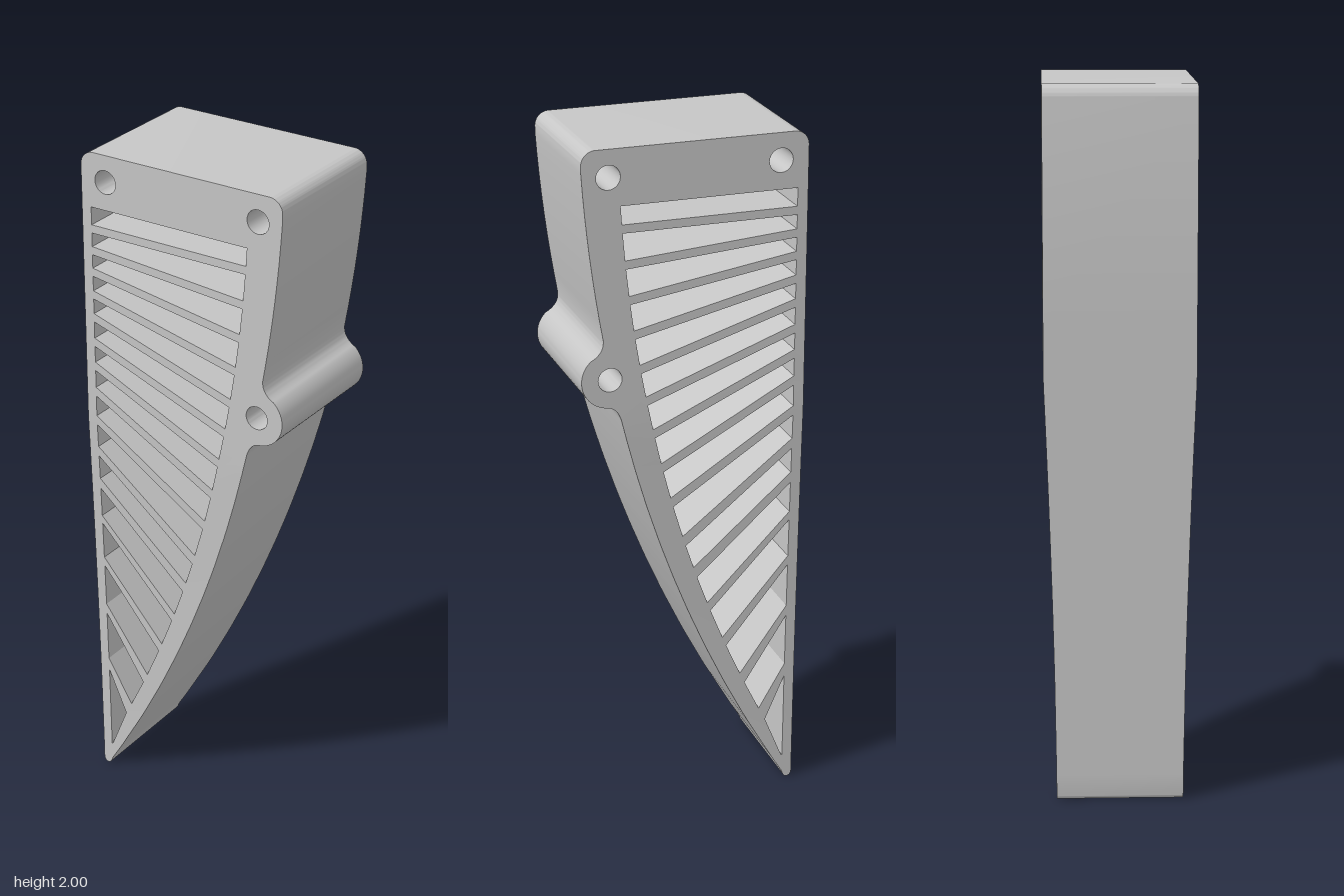
import * as THREE from 'three';
import { mergeGeometries, toCreasedNormals } from 'three/addons/utils/BufferGeometryUtils.js';

const LEFT = -0.324, SLOT_LEFT = -0.294, TIP_Y = 0.075;
const FLAT_SLOTS = 7; // slots in the upper part, where the depth is constant

// Outer curved edge is a large arc; the slots stop short of it by a rim that widens upward.
const edge = y => -3.825 + Math.sqrt(4.15 ** 2 - (2.2 - y) ** 2);
const inner = y => Math.max(SLOT_LEFT + 0.003, edge(y) - 0.046 - 0.03 * y);
// Half depth narrows gently toward the tip.
const halfDepth = y => 0.178 + 0.0315 * Math.min(1, Math.max(0, y) / 1.2) ** 1.6;

// Ribs: [height at the straight edge, height at the curved edge]
const ribs = [
  [1.778, 1.778], [1.714, 1.677], [1.65, 1.576], [1.582, 1.476], [1.513, 1.375],
  [1.438, 1.28], [1.364, 1.18], [1.285, 1.073], [1.195, 0.962], [1.094, 0.835],
  [0.988, 0.73], [0.867, 0.613], [0.724, 0.491], [0.56, 0.36], [0.364, 0.228],
];

// Slots between the ribs, as heights of their four corners
function makeSlots() {
  const slots = [];
  let tl = 1.842, tr = 1.842;
  for (const [a, b] of ribs) {
    const h = (a > 0.95 ? 0.012 : 0.009) * Math.hypot(1, (a - b) / (inner(b) - SLOT_LEFT));
    slots.push({ tl, tr, bl: a + h, br: b + h });
    tl = a - h;
    tr = b - h;
  }
  slots.push({ tl, tr, bl: TIP_Y, br: TIP_Y });
  return slots;
}

const polygon = points => new THREE.Shape(points.map(([x, y]) => new THREE.Vector2(x, y)));

const slotPath = ({ tl, tr, bl, br }) => polygon([
  [SLOT_LEFT, tl], [SLOT_LEFT, bl], [inner(br), br], [inner(tr), tr],
]);

const boltHole = ([x, y]) => new THREE.Path().absarc(x, y, 0.034, 0, Math.PI * 2, false);

// Rounded top corners, upper curved edge and lug
function addTop(s) {
  s.lineTo(LEFT, 1.96);
  s.absarc(LEFT + 0.04, 1.96, 0.04, Math.PI, Math.PI / 2, true);
  s.lineTo(0.277, 2);
  s.absarc(0.277, 1.96, 0.04, Math.PI / 2, 0, true);
  for (let i = 0; i <= 8; i++) {
    const y = 1.94 - i * 0.0588;
    s.lineTo(edge(y), y);
  }
  s.quadraticCurveTo(0.259, 1.435, 0.294, 1.416);
  s.absarc(0.242, 1.355, 0.081, 0.87, -1.48, true);
  s.quadraticCurveTo(0.217, 1.27, edge(1.22), 1.22);
}

// Rounded lower tip
function addTip(s) {
  s.lineTo(edge(0.02), 0.02);
  s.quadraticCurveTo(-0.299, 0, -0.309, 0);
  s.quadraticCurveTo(LEFT, 0, LEFT, 0.02);
}

// Pieces that tile the front face
function facePieces(slots, boltHoles) {
  const lower = slots.slice(FLAT_SLOTS);
  const { tl, tr } = lower[0];

  const top = new THREE.Shape().moveTo(SLOT_LEFT, tl).lineTo(LEFT, tl);
  addTop(top);
  top.lineTo(edge(tr), tr).lineTo(inner(tr), tr);
  top.holes.push(...slots.slice(0, FLAT_SLOTS).map(slotPath), ...boltHoles);

  const tip = new THREE.Shape().moveTo(LEFT, TIP_Y).lineTo(SLOT_LEFT, TIP_Y)
    .lineTo(inner(TIP_Y), TIP_Y).lineTo(edge(TIP_Y), TIP_Y);
  addTip(tip);

  const pieces = [top, tip];
  const rail = (a, b) => pieces.push(polygon([[LEFT, a], [SLOT_LEFT, a], [SLOT_LEFT, b], [LEFT, b]]));
  const rim = (a, b) => pieces.push(polygon([[inner(a), a], [edge(a), a], [edge(b), b], [inner(b), b]]));
  lower.forEach((slot, i) => {
    rail(slot.tl, slot.bl);
    rim(slot.tr, slot.br);
    const next = lower[i + 1];
    if (!next) return;
    rail(slot.bl, next.tl);
    rim(slot.br, next.tr);
    pieces.push(slotPath({ tl: slot.bl, tr: slot.br, bl: next.tl, br: next.tr })); // rib
  });
  return pieces;
}

// Whole outline, with points level with the corners of the lower slots
function outline(slots) {
  const lower = slots.slice(FLAT_SLOTS);
  const s = new THREE.Shape().moveTo(LEFT, TIP_Y);
  for (const y of lower.flatMap(k => [k.tl, k.bl]).reverse()) s.lineTo(LEFT, y);
  addTop(s);
  for (const y of lower.flatMap(k => [k.tr, k.br])) s.lineTo(edge(y), y);
  addTip(s);
  return s;
}

function positionsOnly(array) {
  return new THREE.BufferGeometry().setAttribute('position', new THREE.BufferAttribute(array, 3));
}

function bracketGeometry() {
  const slots = makeSlots();
  const boltHoles = [[-0.245, 1.923], [0.242, 1.923], [0.242, 1.355]].map(boltHole);

  // walls: only the side group of the extrusion
  const shape = outline(slots);
  shape.holes.push(...slots.map(slotPath), ...boltHoles);
  const solid = new THREE.ExtrudeGeometry(shape, { depth: 1, bevelEnabled: false, curveSegments: 12 });
  const { start, count } = solid.groups[1];
  const walls = positionsOnly(solid.attributes.position.array.slice(start * 3, (start + count) * 3));

  // front and back faces
  const face = new THREE.ShapeGeometry(facePieces(slots, boltHoles), 12);
  const back = positionsOnly(face.toNonIndexed().attributes.position.array);
  const front = back.clone().translate(0, 0, 1);
  face.index.array.reverse();
  const backTurned = positionsOnly(face.toNonIndexed().attributes.position.array);

  // taper the depth by height
  const geometry = mergeGeometries([walls, front, backTurned]);
  const p = geometry.attributes.position;
  for (let i = 0; i < p.count; i++) {
    p.setZ(i, (p.getZ(i) > 0.5 ? 1 : -1) * halfDepth(p.getY(i)));
  }
  return toCreasedNormals(geometry, 0.5);
}

export function createModel() {
  const grey = new THREE.MeshStandardMaterial({ color: 0xc6c6c6 });
  grey.name = 'grey';

  const bracket = new THREE.Mesh(bracketGeometry(), grey);
  bracket.name = 'ribbedBracket';
  const model = new THREE.Group();
  model.name = 'slottedBracket';
  model.add(bracket);
  return model;
}
